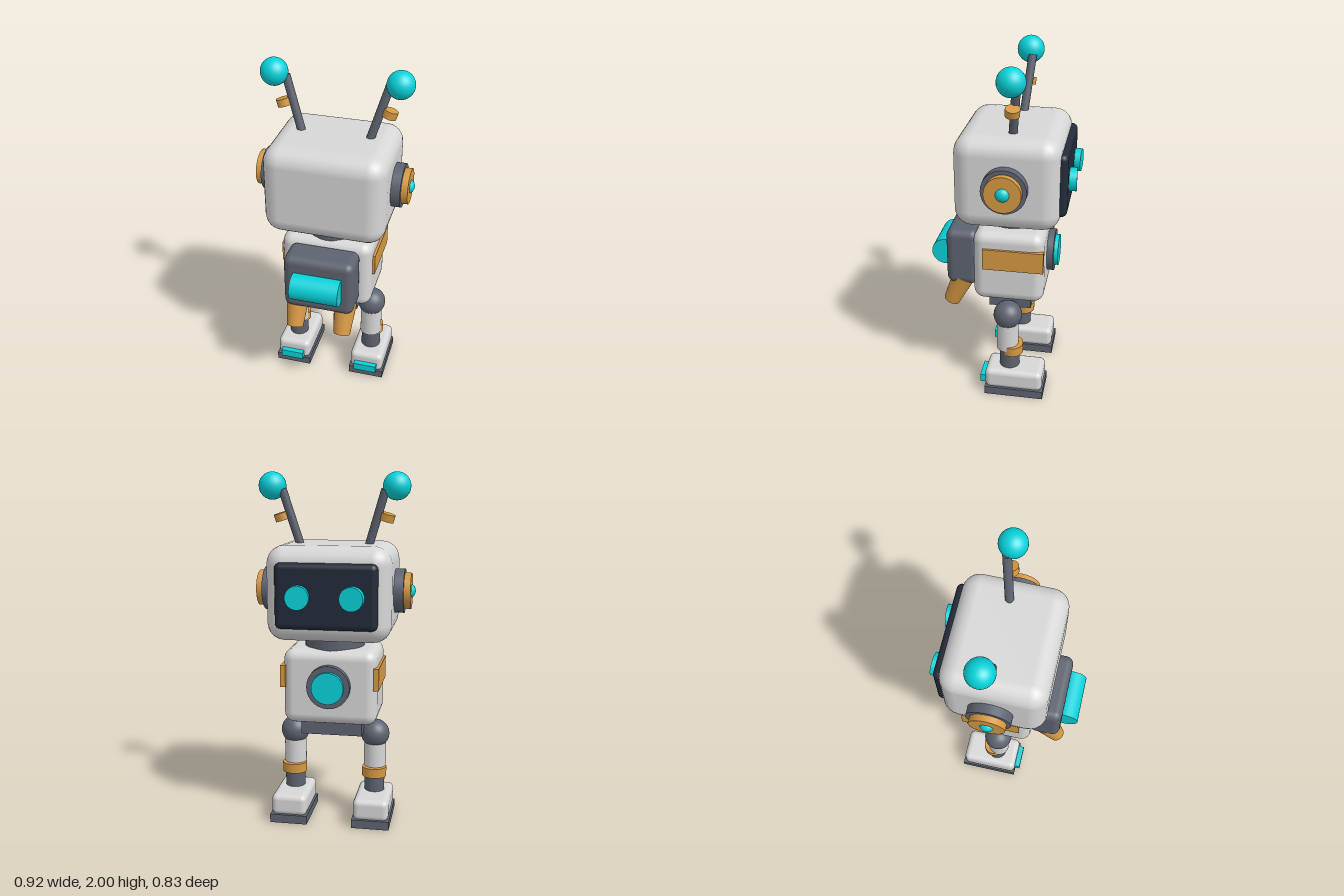
import * as THREE from 'three';
import { RoundedBoxGeometry } from 'three/addons/geometries/RoundedBoxGeometry.js';

const mat = (name, color) => {
  const m = new THREE.MeshStandardMaterial({ color });
  m.name = name;
  return m;
};

export function createModel() {
  const white = mat('shell white', 0xd8d7d7);
  const grey = mat('joint grey', 0x5d6370);
  const gold = mat('trim gold', 0xd69943);
  const cyan = mat('glow cyan', 0x08d2da);
  const navy = mat('visor navy', 0x222b39);

  const model = new THREE.Group();
  model.name = 'robot';

  const add = (parent, name, geometry, material, x, y, z) => {
    const mesh = new THREE.Mesh(geometry, material);
    mesh.name = name;
    mesh.position.set(x, y, z);
    parent.add(mesh);
    return mesh;
  };
  const rounded = (w, h, d, r) => new RoundedBoxGeometry(w, h, d, 3, r);
  const box = (w, h, d) => new THREE.BoxGeometry(w, h, d);
  const ball = (r) => new THREE.SphereGeometry(r, 28, 18);
  const disc = (r, h, axis) => {
    const g = new THREE.CylinderGeometry(r, r, h, 28);
    if (axis === 'x') g.rotateZ(Math.PI / 2);
    if (axis === 'z') g.rotateX(Math.PI / 2);
    return g;
  };
  // tapered rod between two points
  const rod = (parent, name, a, b, ra, rb, material) => {
    const dir = b.clone().sub(a);
    const mid = a.clone().add(b).multiplyScalar(0.5);
    const mesh = add(parent, name, new THREE.CylinderGeometry(rb, ra, dir.length(), 24),
      material, mid.x, mid.y, mid.z);
    mesh.quaternion.setFromUnitVectors(new THREE.Vector3(0, 1, 0), dir.normalize());
    return mesh;
  };
  const V = (x, y, z) => new THREE.Vector3(x, y, z);

  // head and visor
  const head = new THREE.Group();
  head.name = 'head';
  model.add(head);
  add(head, 'headShell', rounded(0.69, 0.525, 0.585, 0.1), white, 0, 1.347, -0.05);
  add(head, 'visor', rounded(0.56, 0.36, 0.07, 0.032), navy, 0, 1.345, -0.34);

  // torso, neck and pelvis
  const body = new THREE.Group();
  body.name = 'body';
  model.add(body);
  add(body, 'neck', disc(0.172, 0.12), grey, 0, 1.06, -0.05);
  add(body, 'torso', rounded(0.53, 0.43, 0.405, 0.06), white, 0, 0.815, -0.052);
  add(body, 'pelvis', box(0.35, 0.12, 0.245), grey, 0, 0.58, -0.052);
  add(body, 'chestRing', disc(0.122, 0.06, 'z'), grey, 0, 0.83, -0.262);
  add(body, 'chestLight', disc(0.09, 0.04, 'z'), cyan, 0, 0.83, -0.296);

  // backpack with tank
  const pack = new THREE.Group();
  pack.name = 'backpack';
  model.add(pack);
  add(pack, 'packShell', rounded(0.41, 0.345, 0.19, 0.045), grey, 0, 0.828, 0.225);
  add(pack, 'tank', disc(0.078, 0.28, 'x'), cyan, 0, 0.832, 0.337);

  for (const s of [1, -1]) {
    const side = s > 0 ? 'left' : 'right';

    // eye, turned slightly outward
    const eye = add(head, side + 'Eye', disc(0.065, 0.05, 'z'), cyan, s * 0.147, 1.345, -0.389);
    eye.rotation.y = s * 0.07;

    // ear stack
    add(head, side + 'EarBase', disc(0.124, 0.08, 'x'), grey, s * 0.358, 1.348, -0.052);
    add(head, side + 'EarRing', disc(0.101, 0.04, 'x'), gold, s * 0.415, 1.348, -0.052);
    add(head, side + 'EarLight', ball(0.042), cyan, s * 0.416, 1.348, -0.052);

    // antenna
    const antenna = new THREE.Group();
    antenna.name = side + 'Antenna';
    head.add(antenna);
    rod(antenna, 'antennaRod', V(s * 0.183, 1.56, -0.066), V(s * 0.287, 1.905, -0.102),
      0.024, 0.024, grey);
    rod(antenna, 'antennaClip', V(s * 0.291, 1.734, -0.081), V(s * 0.303, 1.774, -0.085),
      0.04, 0.04, gold);
    add(antenna, 'antennaBall', ball(0.077), cyan, s * 0.347, 1.923, -0.084);

    // torso side trim and thruster
    add(body, side + 'SidePanel', box(0.03, 0.125, 0.345), gold, s * 0.264, 0.876, -0.083);
    rod(pack, side + 'Thruster', V(s * 0.142, 0.515, 0.305), V(s * 0.142, 0.69, 0.226),
      0.048, 0.068, gold);

    // leg
    const leg = new THREE.Group();
    leg.name = side + 'Leg';
    leg.position.x = s * 0.238;
    model.add(leg);
    add(leg, 'hip', ball(0.083), grey, 0, 0.505, -0.05);
    add(leg, 'thigh', disc(0.064, 0.22), white, 0, 0.39, -0.05);
    add(leg, 'shin', disc(0.058, 0.16), grey, 0, 0.22, -0.062);
    add(leg, 'kneeBand', disc(0.071, 0.056), gold, 0, 0.284, -0.08).scale.z = 0.87;

    // foot
    add(leg, 'foot', rounded(0.205, 0.125, 0.34, 0.033), white, 0, 0.103, -0.097);
    add(leg, 'sole', box(0.216, 0.05, 0.348), grey, 0, 0.025, -0.1);
    add(leg, 'footLight', box(0.14, 0.047, 0.05), cyan, 0, 0.082, 0.08);
  }

  return model;
}
